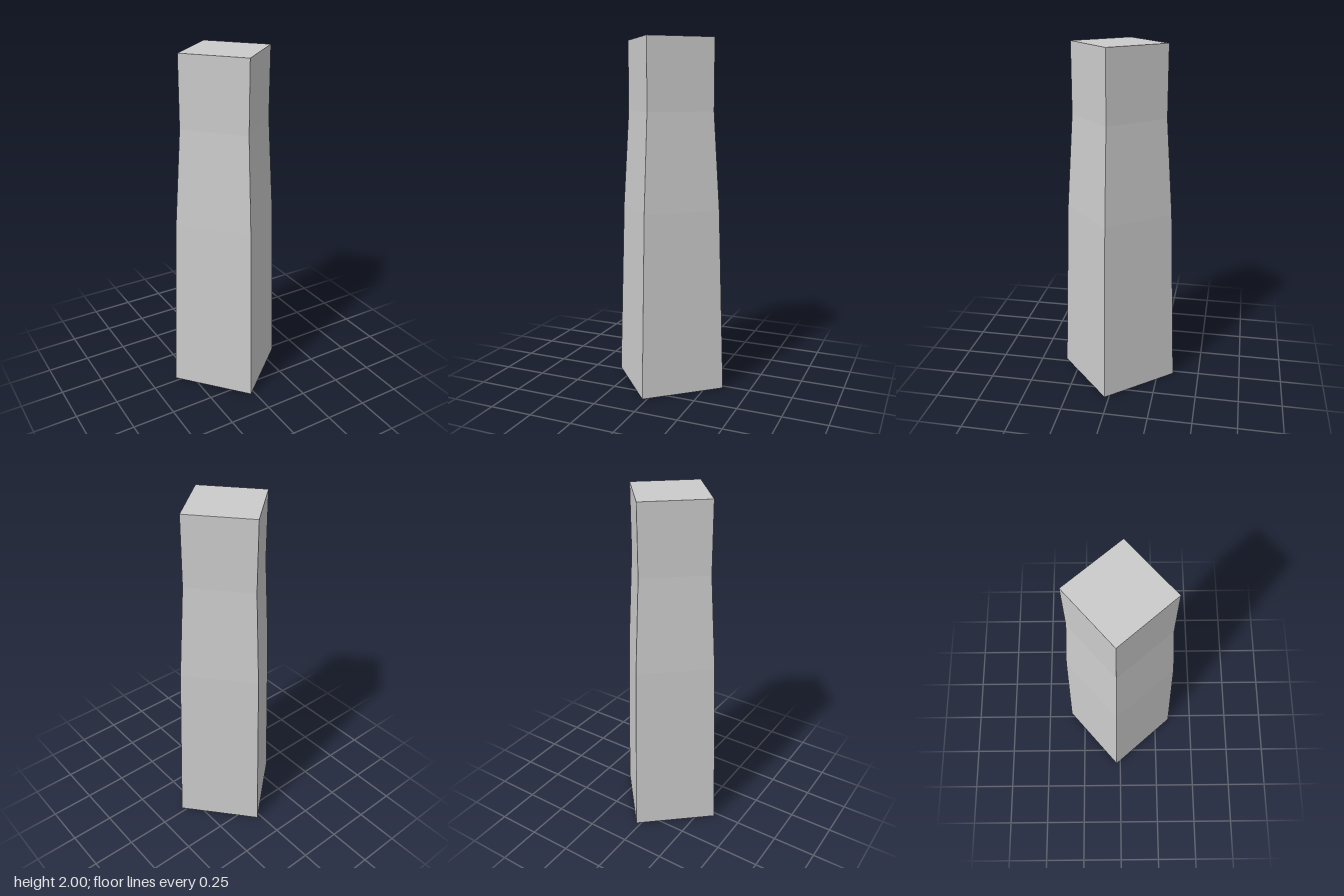
import * as THREE from 'three';

export function createModel() {
  const group = new THREE.Group();
  group.name = 'taperedPost';

  // Corner radius and height at each level, closed at both ends
  const profile = [
    [0, 0], [0.346, 0], [0.31, 1.05], [0.272, 1.6], [0.272, 2], [0, 2],
  ].map(([r, y]) => new THREE.Vector2(r, y));

  // Four-sided post, turned slightly off the diagonal
  const turn = -0.073;
  const post = new THREE.Mesh(
    new THREE.LatheGeometry(profile, 4, turn),
    new THREE.MeshStandardMaterial({ color: 0xcccccc, flatShading: true }),
  );
  post.name = 'post';
  group.add(post);

  return group;
}
